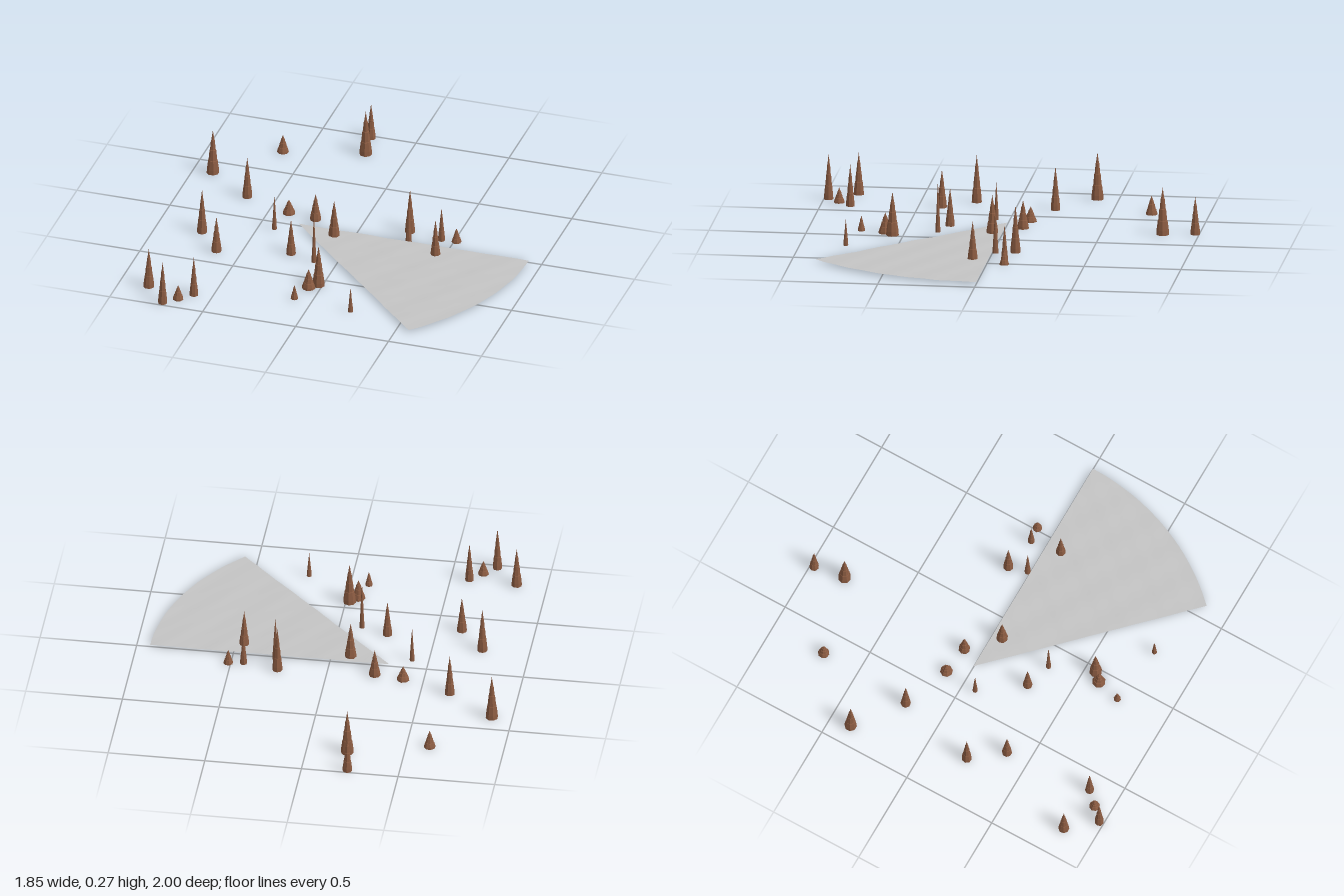
import * as THREE from 'three';

const brown = new THREE.MeshStandardMaterial({ color: 0x8c5c42, flatShading: true, side: THREE.DoubleSide });
brown.name = 'brown rock';
const grey = new THREE.MeshStandardMaterial({ color: 0xc4c4c4, side: THREE.DoubleSide });
grey.name = 'pale grey';

// x, z, base radius, height of each spire
const SPIRES = [
  [-0.235, -0.98, 0.025, 0.2], [-0.21, -0.815, 0.033, 0.25], [-0.62, -0.705, 0.03, 0.1],
  [-0.895, -0.39, 0.032, 0.25], [-0.65, -0.205, 0.026, 0.23], [-0.395, -0.11, 0.033, 0.08],
  [-0.245, -0.09, 0.03, 0.15], [0.255, -0.115, 0.026, 0.25], [0.435, -0.082, 0.018, 0.19],
  [0.513, -0.09, 0.025, 0.08], [0.28, -0.015, 0.016, 0.25], [-0.415, 0.07, 0.013, 0.2],
  [-0.1, 0.05, 0.031, 0.21], [0.455, 0.08, 0.026, 0.21], [-0.757, 0.215, 0.026, 0.25],
  [-0.627, 0.378, 0.026, 0.2], [-0.255, 0.288, 0.025, 0.2], [-0.117, 0.333, 0.013, 0.27],
  [-0.02, 0.555, 0.033, 0.23], [-0.06, 0.597, 0.035, 0.11], [-0.095, 0.725, 0.019, 0.08],
  [0.22, 0.765, 0.013, 0.14], [-0.843, 0.835, 0.028, 0.22], [-0.597, 0.847, 0.023, 0.22],
  [-0.66, 0.912, 0.028, 0.08], [-0.723, 0.975, 0.024, 0.24],
];

// Tapering spire of stacked tiers, each stepping in slightly
const PROFILE = [
  [0, 0], [1, 0], [0.96, 0.1], [0.76, 0.3], [0.7, 0.31], [0.53, 0.54],
  [0.46, 0.55], [0.31, 0.76], [0.25, 0.77], [0, 1],
].map(([r, y]) => new THREE.Vector2(r, y));

function spire([x, z, radius, height], i) {
  const mesh = new THREE.Mesh(new THREE.LatheGeometry(PROFILE, 8), brown);
  mesh.name = `stalagmite${i + 1}`;
  mesh.scale.set(radius, height, radius);
  mesh.rotation.y = i * 1.7;
  mesh.position.set(x, 0.004, z);
  return mesh;
}

// Thin fan-shaped sheet: a square grid bent to a 45 degree sector with gentle ripples
function fan() {
  const g = new THREE.PlaneGeometry(1, 1, 48, 32).rotateX(-Math.PI / 2).translate(0.5, 0, 0.5);
  const p = g.attributes.position;
  for (let i = 0; i < p.count; i++) {
    const r = p.getX(i) * 1.237, a = p.getZ(i) * Math.PI / 4;
    const x = r * Math.cos(a), z = r * Math.sin(a);
    const ripple = Math.sin(23 * x + 11 * z) + Math.sin(31 * z - 17 * x + 1) + Math.sin(47 * x + 39 * z + 2) * 0.5;
    p.setXYZ(i, x - 0.307, 0.015 + 0.0009 * ripple, z);
  }
  g.computeVertexNormals();
  const mesh = new THREE.Mesh(g, grey);
  mesh.name = 'fanSheet';
  return mesh;
}

export function createModel() {
  const model = new THREE.Group();
  model.name = 'stalagmiteField';
  const spires = new THREE.Group();
  spires.name = 'stalagmites';
  SPIRES.forEach((s, i) => spires.add(spire(s, i)));
  model.add(spires, fan());
  return model;
}
